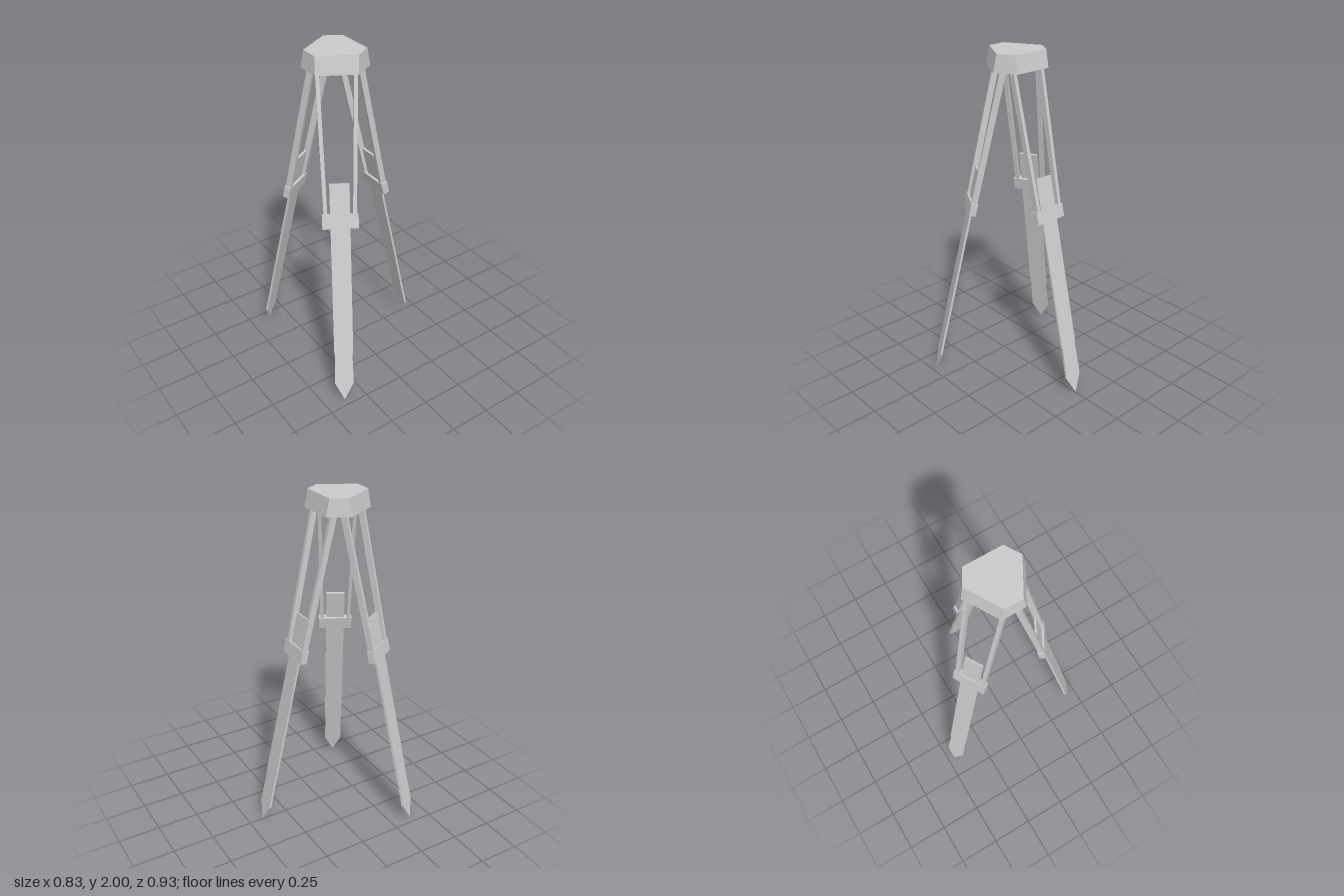
import * as THREE from 'three';
import { ConvexGeometry } from 'three/addons/geometries/ConvexGeometry.js';

const CENTRE_X = -0.115; // tripod axis
const FOOT_RADIUS = 0.524;
const TILT = Math.atan(0.228);
const THICK = 0.013;

const material = new THREE.MeshStandardMaterial({ color: 0xcccccc, flatShading: true });

function part(name, geometry, parent) {
  const mesh = new THREE.Mesh(geometry, material);
  mesh.name = name;
  parent.add(mesh);
  return mesh;
}

// Flat board drawn in the (width, length) plane, thickness along local x
function board(points) {
  const shape = new THREE.Shape(points.map(([w, l]) => new THREE.Vector2(w, l)));
  const geometry = new THREE.ExtrudeGeometry(shape, { depth: THICK, bevelEnabled: false });
  return geometry.translate(0, 0, -THICK / 2).rotateY(Math.PI / 2);
}

// Leg with its foot tip at the origin, rising along local y
function makeLeg() {
  const leg = new THREE.Group();
  leg.name = 'leg';

  part('lowerBoard', board([[-0.055, 0.307], [0.055, 0.307], [0.055, 1.344], [-0.055, 1.344]]), leg);
  part('footSpike', board([[0, 0], [0.055, 0.11], [0.05, 0.307], [-0.05, 0.307], [-0.055, 0.11]]), leg);

  part('clampBracket', new THREE.BoxGeometry(0.04, 0.076, 0.2), leg).position.y = 1.128;

  // Two upper rods, spreading slightly towards the head
  for (const side of [-1, 1]) {
    const low = new THREE.Vector3(0, 1.12, side * 0.079);
    const high = new THREE.Vector3(0, 1.97, side * 0.101);
    const rod = part('upperRod', new THREE.BoxGeometry(0.035, low.distanceTo(high), 0.021), leg);
    rod.position.copy(low).lerp(high, 0.5);
    rod.rotation.x = Math.atan2(high.z - low.z, high.y - low.y);
  }
  return leg;
}

// Six-sided head: three long sides above the legs, three short ones between
function makeHead() {
  const points = [];
  for (const [y, r, half] of [[1.9, 0.145, 0.112], [2, 0.125, 0.113]]) {
    for (let i = 0; i < 3; i++) {
      for (const side of [-1, 1]) {
        points.push(new THREE.Vector3(r, y, side * half)
          .applyAxisAngle(new THREE.Object3D().up, i * Math.PI * 2 / 3));
      }
    }
  }
  return new ConvexGeometry(points);
}

export function createModel() {
  const model = new THREE.Group();
  model.name = 'tripod';
  model.position.x = CENTRE_X;

  part('head', makeHead(), model);

  // Three legs around the axis
  for (let i = 0; i < 3; i++) {
    const arm = new THREE.Group();
    arm.name = 'legArm';
    arm.rotation.y = i * Math.PI * 2 / 3;
    const leg = makeLeg();
    leg.position.x = FOOT_RADIUS;
    leg.rotation.z = TILT;
    arm.add(leg);
    model.add(arm);
  }

  const root = new THREE.Group();
  root.add(model);
  return root;
}
